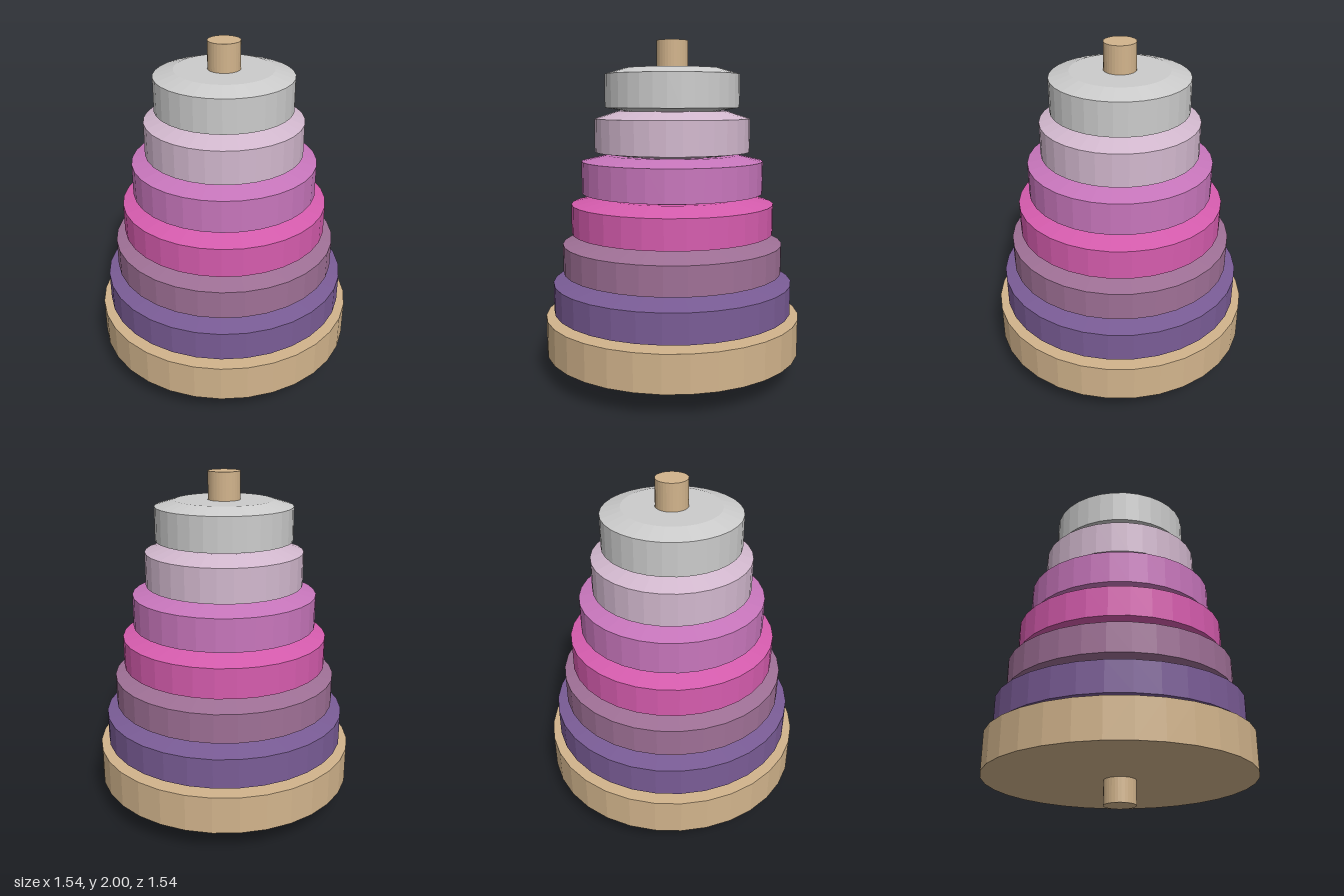
import * as THREE from 'three';

const SIDES = 32;
const POLE_RADIUS = 0.093;
const WOOD = 0xd2b48c;

function addMesh(group, name, geometry, color) {
  const material = new THREE.MeshStandardMaterial({ color, flatShading: true });
  const mesh = new THREE.Mesh(geometry, material);
  mesh.name = name;
  group.add(mesh);
  return mesh;
}

// Bored disc with shallow sloping shoulders above and below its rim
function ringGeometry(radius, bottom, rimBottom, rimTop, top) {
  const bore = POLE_RADIUS + 0.001;
  const inner = radius * 0.71;
  const profile = [
    [bore, bottom], [inner, bottom], [radius, rimBottom],
    [radius, rimTop], [inner, top], [bore, top], [bore, bottom],
  ].map(([r, y]) => new THREE.Vector2(r, y));
  return new THREE.LatheGeometry(profile, SIDES);
}

export function createModel() {
  const group = new THREE.Group();
  group.name = 'stackingRings';

  // Pole running through the whole stack
  const pole = new THREE.CylinderGeometry(POLE_RADIUS, POLE_RADIUS, 2, SIDES);
  addMesh(group, 'pole', pole, WOOD).position.y = 1;

  // Round base plate
  const base = new THREE.CylinderGeometry(0.772, 0.772, 0.22, SIDES);
  addMesh(group, 'base', base, WOOD).position.y = 0.25;

  // Rings from largest to smallest: radius, bottom, rim bottom, rim top, top, color
  const rings = [
    [0.724, 0.36, 0.39, 0.565, 0.60, 0x7a5c96],
    [0.663, 0.60, 0.63, 0.80, 0.84, 0x9f7096],
    [0.608, 0.84, 0.865, 1.04, 1.08, 0xd65cae],
    [0.543, 1.08, 1.105, 1.295, 1.33, 0xc876bc],
    [0.463, 1.33, 1.35, 1.545, 1.59, 0xd2b8ce],
    [0.40, 1.59, 1.61, 1.805, 1.84, 0xcccccc],
  ];
  rings.forEach(([radius, bottom, rimBottom, rimTop, top, color], i) => {
    addMesh(group, `ring${i + 1}`, ringGeometry(radius, bottom, rimBottom, rimTop, top), color);
  });

  return group;
}
